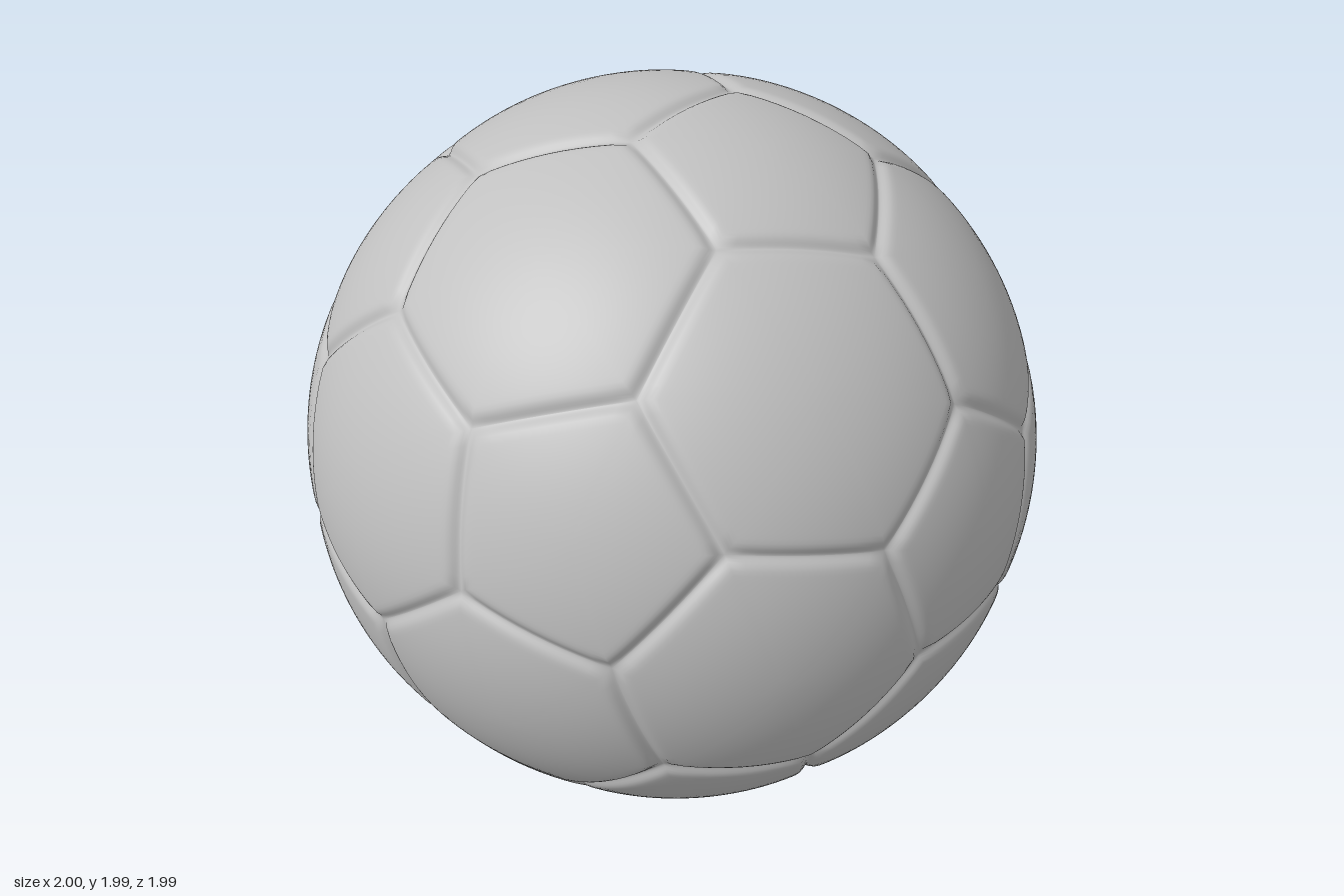
import * as THREE from 'three';

const RINGS = 20, SEGMENTS = 10;

// Twelve pentagon centres: an icosahedron with the given pole and one given neighbour
function pentagonCentres() {
  const pole = new THREE.Vector3(0.255, 0.951, 0.177).normalize();
  const u = new THREE.Vector3(-0.194, 0.336, 0.922).projectOnPlane(pole).normalize();
  const v = pole.clone().cross(u);
  const centres = [pole.clone()];
  for (let i = 0; i < 5; i++) {
    const a = i * Math.PI * 0.4;
    centres.push(pole.clone().addScaledVector(u, 2 * Math.cos(a)).addScaledVector(v, 2 * Math.sin(a)).normalize());
  }
  return centres.concat(centres.map(c => c.clone().negate()));
}

// Corners in anticlockwise order as seen from outside
function sortAround(corners, centre) {
  const u = corners[0].clone().projectOnPlane(centre).normalize();
  const v = centre.clone().cross(u);
  const angle = p => Math.atan2(p.dot(v), p.dot(u));
  return corners.map(p => [angle(p), p]).sort((a, b) => a[0] - b[0]).map(e => e[1]);
}

// A padded panel that sinks into a narrow seam along each edge
function panelGeometry(corners, centre) {
  corners = sortAround(corners, centre);
  const n = corners.length, around = n * SEGMENTS;
  const edgeNormals = corners.map((c, i) => c.clone().cross(corners[(i + 1) % n]).normalize());
  const positions = [], indices = [];

  function addPoint(p) {
    p.normalize();
    let pad = 1, seam = 1;
    for (const e of edgeNormals) {
      const d = Math.max(0, p.dot(e));
      pad *= 1 - Math.exp(-d / 0.1);
      seam *= 1 - Math.exp(-((d / 0.018) ** 2));
    }
    const r = 1 - 0.009 * (1 - pad) - 0.014 * (1 - seam);
    positions.push(p.x * r, p.y * r, p.z * r);
  }

  addPoint(centre.clone());
  for (let k = 1; k <= RINGS; k++) {
    const t = 1 - (1 - k / RINGS) ** 2.2; // rings crowd towards the seam
    for (let j = 0; j < around; j++) {
      const i = Math.floor(j / SEGMENTS);
      const rim = corners[i].clone().lerp(corners[(i + 1) % n], (j % SEGMENTS) / SEGMENTS);
      addPoint(centre.clone().multiplyScalar(0.93).lerp(rim, t));
      const next = (j + 1) % around;
      const b = 1 + (k - 1) * around;
      if (k === 1) {
        indices.push(0, b + j, b + next);
      } else {
        const a = b - around;
        indices.push(a + j, b + j, b + next, a + j, b + next, a + next);
      }
    }
  }
  const geometry = new THREE.BufferGeometry();
  geometry.setAttribute('position', new THREE.Float32BufferAttribute(positions, 3));
  geometry.setIndex(indices);
  geometry.computeVertexNormals();
  return geometry;
}

export function createModel() {
  const ball = new THREE.Group();
  ball.name = 'ball';
  const leather = new THREE.MeshStandardMaterial({ color: 0xc0c0c0 });
  leather.name = 'light grey leather';

  const centres = pentagonCentres();
  const adjacent = (i, j) => i !== j && centres[i].dot(centres[j]) > 0.4;
  const third = (i, j) => centres[i].clone().lerp(centres[j], 1 / 3).normalize();

  function addPanel(name, corners, centre) {
    const mesh = new THREE.Mesh(panelGeometry(corners, centre), leather);
    mesh.name = name;
    mesh.position.y = 1;
    ball.add(mesh);
  }

  for (let i = 0; i < 12; i++) {
    // Pentagon panels
    const neighbours = centres.map((_, j) => j).filter(j => adjacent(i, j));
    addPanel('pentagonPanel', neighbours.map(j => third(i, j)), centres[i]);

    // Hexagon panels between three neighbouring pentagons
    for (let j = i + 1; j < 12; j++) {
      for (let k = j + 1; k < 12; k++) {
        if (!adjacent(i, j) || !adjacent(j, k) || !adjacent(i, k)) continue;
        const corners = [[i, j], [j, i], [j, k], [k, j], [k, i], [i, k]].map(([a, b]) => third(a, b));
        const centre = centres[i].clone().add(centres[j]).add(centres[k]).normalize();
        addPanel('hexagonPanel', corners, centre);
      }
    }
  }
  return ball;
}
